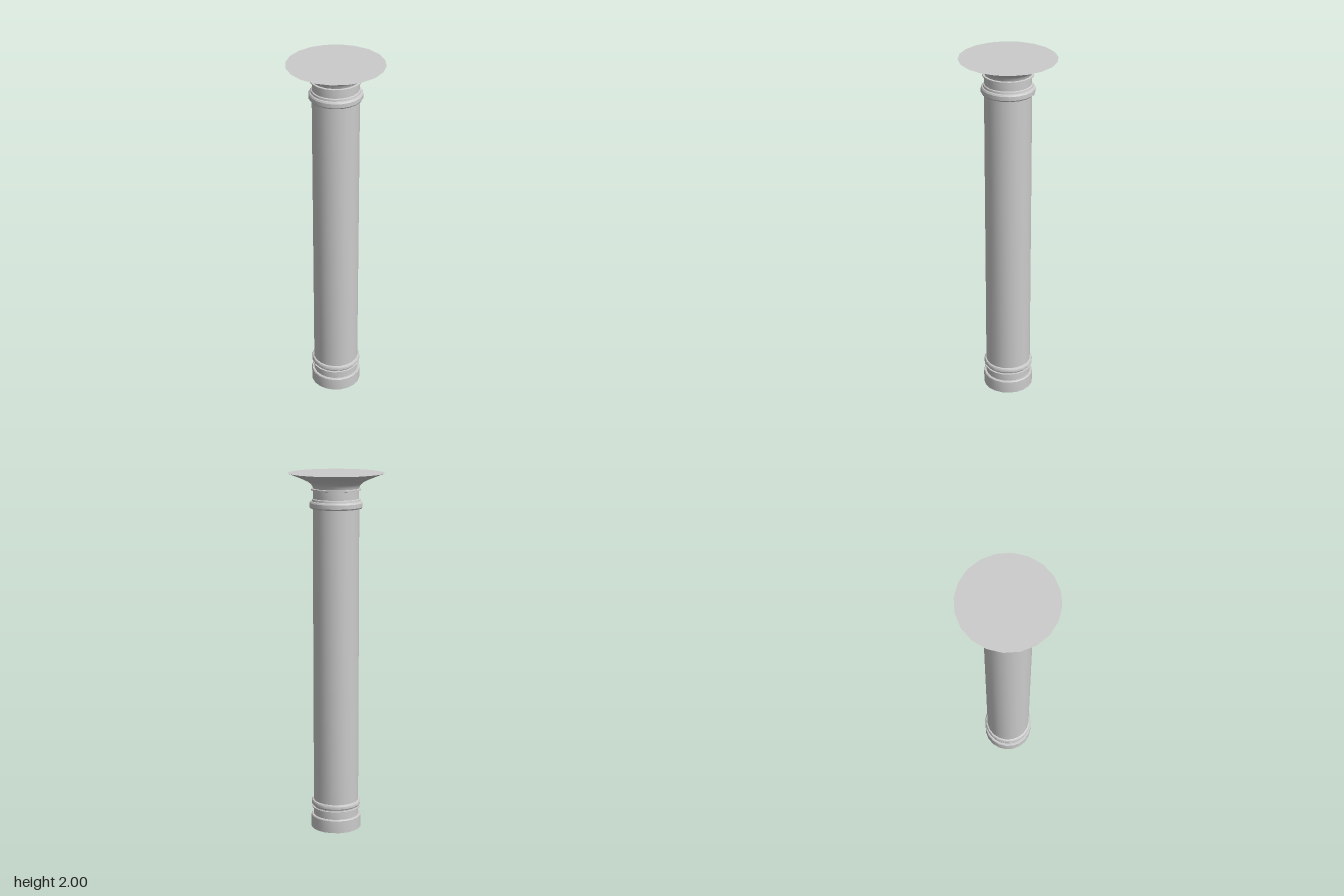
import * as THREE from 'three';
import { toCreasedNormals } from 'three/addons/utils/BufferGeometryUtils.js';

const SIDES = 20;

export function createModel() {
  const column = new THREE.Group();
  column.name = 'column';
  const material = new THREE.MeshStandardMaterial({ color: 0xcccccc });

  // Turns a [radius, height] profile, listed bottom to top, into a named part
  const turn = (name, profile) => {
    const points = profile.map(([r, y]) => new THREE.Vector2(r, y));
    const geometry = toCreasedNormals(new THREE.LatheGeometry(points, SIDES), 0.55);
    const mesh = new THREE.Mesh(geometry, material);
    mesh.name = name;
    column.add(mesh);
  };

  // Plinth, neck and a thin fillet
  turn('base', [
    [0, 0], [0.141, 0], [0.141, 0.07], [0.137, 0.075], [0.127, 0.075],
    [0.127, 0.115], [0.136, 0.116], [0.136, 0.122], [0.127, 0.123], [0.127, 0.132],
  ]);

  // Rounded ring at the foot of the shaft
  turn('baseRing', [
    [0.127, 0.131], [0.135, 0.132], [0.139, 0.138], [0.139, 0.152],
    [0.135, 0.159], [0.127, 0.161],
  ]);

  // Plain shaft
  turn('shaft', [[0.127, 0.125], [0.127, 1.82]]);

  // Collar with a stepped, sloping top
  turn('collar', [
    [0.127, 1.81], [0.139, 1.811], [0.144, 1.818], [0.144, 1.84],
    [0.139, 1.848], [0.133, 1.85], [0.131, 1.86], [0.125, 1.863],
  ]);

  // Neck with a thin fillet
  turn('neck', [
    [0.125, 1.855], [0.125, 1.907], [0.136, 1.909], [0.136, 1.916], [0.125, 1.918],
  ]);

  // Flared bell with a flat top
  turn('capital', [
    [0.125, 1.917], [0.128, 1.928], [0.136, 1.941], [0.151, 1.953],
    [0.175, 1.965], [0.21, 1.979], [0.262, 2], [0, 2],
  ]);

  return column;
}
